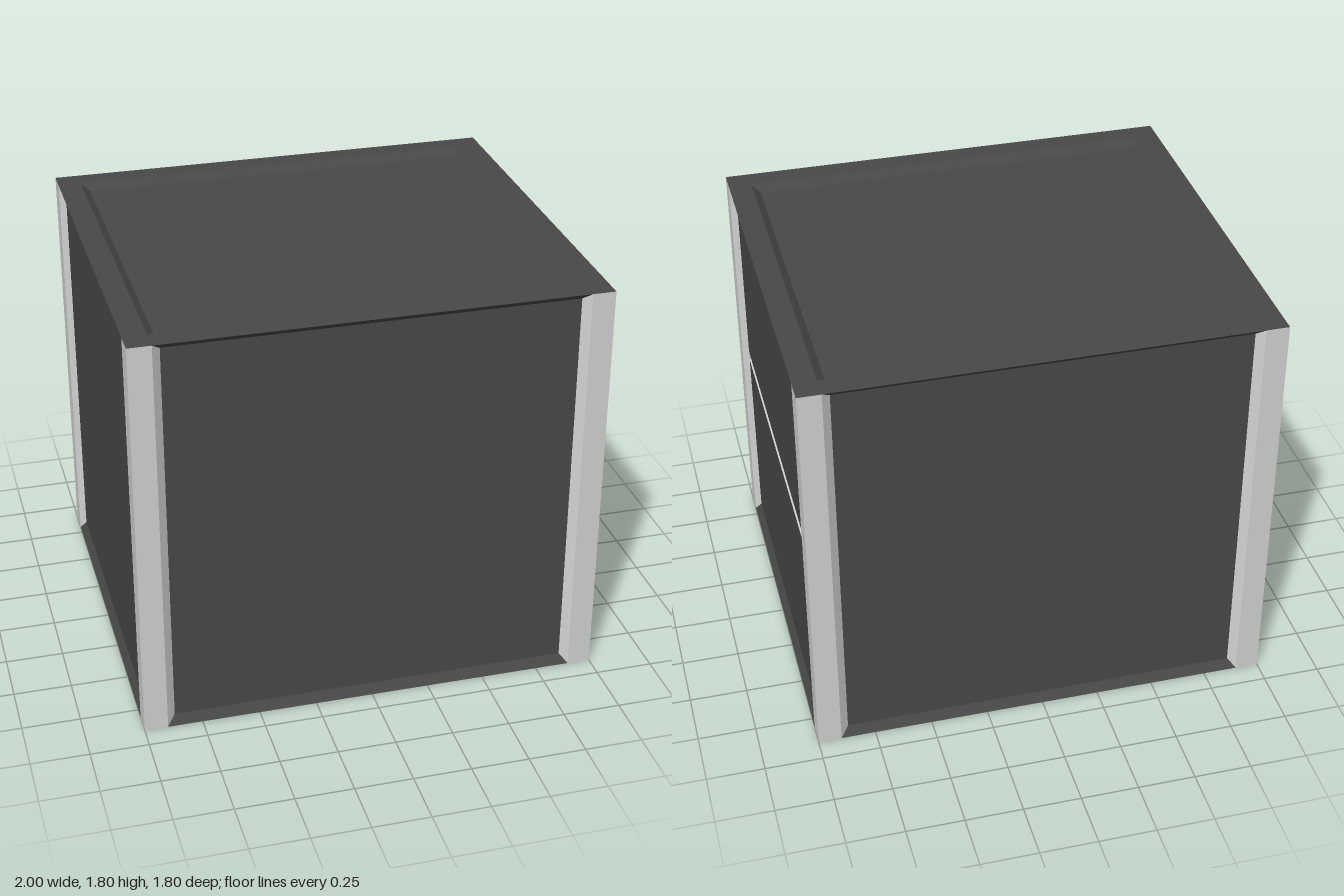
import * as THREE from 'three';

const W = 2, H = 1.8, D = 1.8, POST = 0.1, DEPTH = 0.026;

const panelGrey = new THREE.MeshStandardMaterial({ color: 0x484848 });
panelGrey.name = 'panelGrey';
const postGrey = new THREE.MeshStandardMaterial({ color: 0xd2d2d2 });
postGrey.name = 'postGrey';

// Rectangle in a face's own plane, z being the height above that plane
const rect = (x0, x1, y0, y1, z = 0) => [[x0, y0, z], [x1, y0, z], [x1, y1, z], [x0, y1, z]];

function addQuads(group, name, material, quads) {
  const pos = quads.flatMap(([a, b, c, d]) => [a, b, c, a, c, d]).flat();
  const geo = new THREE.BufferGeometry();
  geo.setAttribute('position', new THREE.Float32BufferAttribute(pos, 3));
  geo.computeVertexNormals();
  const mesh = new THREE.Mesh(geo, material);
  mesh.name = name;
  group.add(mesh);
}

// Four strips joining an outer rectangle to an inner one: bottom, right, top, left
const ring = (o, i) => [0, 1, 2, 3].map(k => {
  const n = (k + 1) % 4;
  return [o[k], o[n], i[n], i[k]];
});

// Side wall: pale posts and their jambs, dark slopes above and below, sunken panel
function makeWall(name, width, inset, grooved) {
  const wall = new THREE.Group();
  wall.name = name;
  const h = width / 2, e = h - POST, p = e - inset;
  const low = 0.043, high = H - 0.026;
  const slopes = ring(rect(-e, e, 0, H), rect(-p, p, low, high, -DEPTH));
  addQuads(wall, 'cornerPosts', postGrey,
    [rect(-h, -e, 0, H), rect(e, h, 0, H), slopes[1], slopes[3]]);
  addQuads(wall, 'panelSlopes', panelGrey, [slopes[0], slopes[2]]);

  if (!grooved) {
    addQuads(wall, 'panel', panelGrey, [rect(-p, p, low, high, -DEPTH)]);
    return wall;
  }
  // Panel split by a horizontal groove with pale sides and a dark floor
  const g0 = 0.895, g1 = 0.941;
  const floor = rect(-p, p, g0 + 0.015, g1 - 0.015, -DEPTH - 0.02);
  addQuads(wall, 'panel', panelGrey,
    [rect(-p, p, low, g0, -DEPTH), rect(-p, p, g1, high, -DEPTH)]);
  addQuads(wall, 'grooveSides', postGrey, ring(rect(-p, p, g0, g1, -DEPTH), floor));
  addQuads(wall, 'grooveFloor', panelGrey, [floor]);
  return wall;
}

// Top: flat rim, sloped edge and sunken panel
function makeTop() {
  const top = new THREE.Group();
  top.name = 'top';
  const x = W / 2, y = D / 2, ix = x - POST, iy = y - POST;
  const opening = rect(-ix, ix, -iy, iy);
  const floor = rect(-ix + 0.035, ix - 0.035, -iy + 0.031, iy - 0.031, -DEPTH);
  addQuads(top, 'topRim', panelGrey, ring(rect(-x, x, -y, y), opening));
  addQuads(top, 'topSlopes', panelGrey, ring(opening, floor));
  addQuads(top, 'topPanel', panelGrey, [floor]);
  return top;
}

export function createModel() {
  const model = new THREE.Group();
  model.name = 'cabinet';

  // Four walls around the body
  const walls = [
    ['frontWall', W, 0.035, false], ['leftWall', D, 0.03, true],
    ['backWall', W, 0.035, false], ['rightWall', D, 0.03, false],
  ];
  walls.forEach(([name, width, inset, grooved], k) => {
    const wall = makeWall(name, width, inset, grooved);
    const a = k * Math.PI / 2, off = k % 2 ? W / 2 : D / 2;
    wall.rotation.y = a;
    wall.position.set(Math.sin(a) * off, 0, Math.cos(a) * off);
    model.add(wall);
  });

  const top = makeTop();
  top.rotation.x = -Math.PI / 2;
  top.position.y = H;
  model.add(top);

  // Flat underside
  const base = new THREE.Mesh(new THREE.PlaneGeometry(W, D), panelGrey);
  base.name = 'base';
  base.rotation.x = Math.PI / 2;
  model.add(base);
  return model;
}
